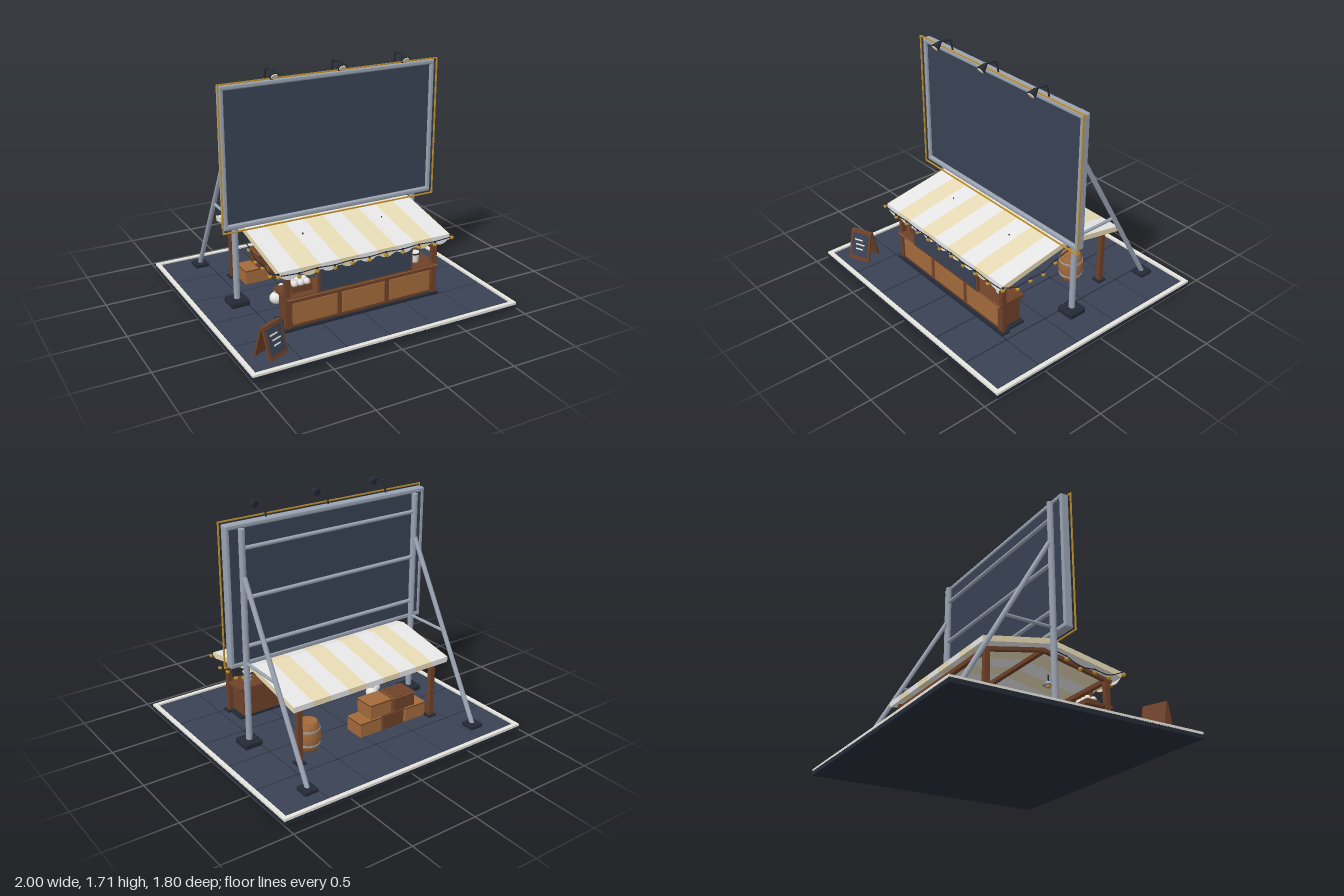
import * as THREE from 'three';
import { RoundedBoxGeometry } from 'three/addons/geometries/RoundedBoxGeometry.js';

const mat = (name, color) => Object.assign(new THREE.MeshStandardMaterial({ color }), { name });
const M = {
  navy: mat('navy', 0x394254), dark: mat('charcoal', 0x242a36), steel: mat('steel', 0x9aa3b2),
  white: mat('off white', 0xe6e4de), cream: mat('cream', 0xe8dcb6), gold: mat('gold', 0xc0922e),
  wood: mat('dark wood', 0x6e4128), light: mat('light wood', 0xa26a3a),
};
M.cloth = mat('cloth white', 0xe6e6e6);
M.cloth.side = M.cream.side = THREE.DoubleSide;

export function createModel() {
  const root = new THREE.Group();
  const add = (name, geo, m, x = 0, y = 0, z = 0, parent = root) => {
    const mesh = new THREE.Mesh(geo, m);
    mesh.name = name;
    mesh.position.set(x, y, z);
    parent.add(mesh);
    return mesh;
  };
  const box = (name, m, w, h, d, x, y, z, parent) => add(name, new THREE.BoxGeometry(w, h, d), m, x, y, z, parent);
  const soft = (name, m, w, h, d, x, y, z, r = 0.008) => add(name, new RoundedBoxGeometry(w, h, d, 2, r), m, x, y, z);
  const cyl = (name, m, rt, rb, h, x, y, z, parent, n = 16) => add(name, new THREE.CylinderGeometry(rt, rb, h, n), m, x, y, z, parent);
  // Round rod between two points
  const rod = (name, m, a, b, r, r2 = r) => {
    const A = new THREE.Vector3(...a), B = new THREE.Vector3(...b), d = B.clone().sub(A);
    const mesh = cyl(name, m, r2, r, d.length(), ...A.clone().add(B).multiplyScalar(0.5).toArray());
    mesh.quaternion.setFromUnitVectors(new THREE.Vector3(0, 1, 0), d.normalize());
    return mesh;
  };
  const tube = (name, m, pts, r) =>
    add(name, new THREE.TubeGeometry(new THREE.CatmullRomCurve3(pts.map(p => new THREE.Vector3(...p))), 32, r, 6), m);
  const sides = [-1, 1];

  // Ground slab, paving and kerb
  box('slab', M.dark, 2, 0.03, 1.8, 0, 0.015, 0);
  for (let i = 0; i < 6; i++) for (let j = 0; j < 5; j++)
    soft('pavingTile', M.navy, 0.312, 0.02, 0.336, (i - 2.5) * 0.322, 0.031, (j - 2) * 0.346, 0.005);
  for (const s of sides) {
    box('kerb', M.white, 2, 0.018, 0.03, 0, 0.036, s * 0.885);
    box('kerb', M.white, 0.03, 0.018, 1.74, s * 0.985, 0.036, 0);
  }

  // Billboard panel, frame and thin gilt outline
  box('billboardPanel', M.navy, 1.6, 0.95, 0.035, 0, 1.125, 0.03);
  for (const s of sides) {
    soft('frameRail', M.steel, 1.63, 0.035, 0.065, 0, 1.125 + s * 0.477, 0.038, 0.012);
    soft('frameStile', M.steel, 0.03, 0.96, 0.06, s * 0.8, 1.125, 0.038, 0.01);
    box('outlineRail', M.gold, 1.66, 0.009, 0.009, 0, 1.125 + s * 0.505, 0.077);
    box('outlineStile', M.gold, 0.009, 1.01, 0.009, s * 0.826, 1.125, 0.077);
  }

  // Steel supports
  for (const s of sides) {
    const x = s * 0.71;
    rod('billboardPost', M.steel, [x, 0.04, -0.012], [x, 1.59, -0.012], 0.022);
    rod('brace', M.steel, [x, 1.27, -0.03], [x, 0.06, -0.72], 0.017);
    rod('strut', M.steel, [x, 0.66, -0.02], [x, 0.66, -0.37], 0.011);
    soft('postFoot', M.dark, 0.14, 0.045, 0.14, x, 0.063, -0.01, 0.012);
    soft('braceFoot', M.dark, 0.105, 0.03, 0.105, x, 0.055, -0.72);
  }
  for (const y of [0.78, 1.12, 1.46]) rod('crossBar', M.steel, [-0.71, y, -0.012], [0.71, y, -0.012], 0.014);

  // Floodlights on top
  for (const x of [-0.49, 0, 0.49]) {
    rod('lampStem', M.dark, [x, 1.61, 0.045], [x, 1.7, 0.065], 0.006);
    rod('lampArm', M.dark, [x, 1.7, 0.065], [x, 1.707, 0.16], 0.006);
    rod('lampHead', M.dark, [x, 1.705, 0.152], [x, 1.672, 0.195], 0.012, 0.032);
    rod('lampLens', M.cream, [x, 1.672, 0.195], [x, 1.668, 0.2], 0.024);
  }

  // Striped gabled canopy
  const gable = new THREE.Shape([[0, 0.61], [-0.49, 0.515], [-0.49, 0.475], [0, 0.572], [0.56, 0.462], [0.56, 0.503]]
    .map(p => new THREE.Vector2(...p)));
  const W = 1.3 / 9;
  const slab = (name, m, x, w) => {
    const g = new THREE.ExtrudeGeometry(gable, { depth: w, bevelEnabled: false });
    g.rotateY(-Math.PI / 2);
    add(name, g, m, x + w);
  };
  const scallop = new THREE.Shape();
  scallop.moveTo(-W / 2, 0.03).lineTo(-W / 2, 0);
  scallop.quadraticCurveTo(-W / 4, -0.035, 0, -0.035).quadraticCurveTo(W / 4, -0.035, W / 2, 0).lineTo(W / 2, 0.03);
  for (let i = 0; i < 9; i++) {
    const m = i % 2 ? M.cream : M.cloth;
    slab('canopyStripe', m, -0.65 + i * W, W);
    add('canopyScallop', new THREE.ShapeGeometry(scallop), m, -0.65 + (i + 0.5) * W, 0.475, 0.562);
  }
  slab('canopyEnd', M.cream, -0.654, 0.004);
  slab('canopyEnd', M.cream, 0.65, 0.004);

  // Stall posts and roof timbers
  for (const s of sides) {
    const x = s * 0.57;
    for (const [z, h] of [[0.492, 0.43], [-0.42, 0.44]]) {
      box('stallPost', M.wood, 0.036, h, 0.036, x, 0.04 + h / 2, z);
      box('stallPostFoot', M.dark, 0.07, 0.012, 0.07, x, 0.047, z);
    }
    for (const [z, y] of [[0.53, 0.452], [-0.46, 0.466]]) {
      const d = Math.hypot(z, 0.565 - y);
      box('rafter', M.wood, 0.03, 0.025, d, x, (0.558 + y) / 2, z / 2).rotation.x = Math.atan2(0.565 - y, z < 0 ? -z : z) * Math.sign(z);
    }
  }
  box('frontBeam', M.wood, 1.17, 0.03, 0.03, 0, 0.455, 0.492);
  box('backBeam', M.wood, 1.17, 0.03, 0.03, 0, 0.468, -0.42);
  box('ridgeBeam', M.wood, 1.17, 0.03, 0.03, 0, 0.557, 0);

  // Counter with three front panels
  box('counterPlinth', M.dark, 1.17, 0.015, 0.21, 0, 0.05, 0.42);
  box('counterBody', M.wood, 1.1, 0.205, 0.175, 0, 0.16, 0.415);
  box('counterTop', M.wood, 1.17, 0.02, 0.21, 0, 0.272, 0.42);
  box('counterTopEdge', M.light, 1.165, 0.007, 0.005, 0, 0.272, 0.526);
  for (const x of [-0.37, 0, 0.37]) box('counterPanel', M.light, 0.33, 0.15, 0.008, x, 0.155, 0.505);

  // Menu board above the counter
  box('menuFrame', M.wood, 0.73, 0.18, 0.02, 0, 0.373, 0.53);
  box('menuFace', M.navy, 0.70, 0.155, 0.006, 0, 0.373, 0.541);

  // Goods on the counter
  box('counterCrate', M.wood, 0.15, 0.045, 0.1, -0.445, 0.305, 0.42);
  for (let i = 0; i < 3; i++) for (let j = 0; j < 2; j++)
    add('crateGoods', new THREE.SphereGeometry(0.024, 12, 8), M.white, -0.49 + i * 0.045, 0.337, 0.397 + j * 0.046);
  cyl('bucket', M.white, 0.036, 0.028, 0.068, 0.46, 0.316, 0.42);
  cyl('bucketRim', M.dark, 0.041, 0.041, 0.008, 0.46, 0.348, 0.42);
  cyl('bucketLid', M.white, 0.035, 0.035, 0.006, 0.46, 0.352, 0.42);

  // Pendant lamps
  for (const s of sides) {
    rod('pendantRod', M.dark, [s * 0.31, 0.475, 0.215], [s * 0.31, 0.578, 0.215], 0.004);
    cyl('pendantShade', M.steel, 0.01, 0.042, 0.028, s * 0.31, 0.468, 0.215);
    add('pendantBulb', new THREE.SphereGeometry(0.016, 10, 8), M.gold, s * 0.31, 0.448, 0.215);
  }

  // String lights along the front and both ends
  const bulb = (x, y, z) => {
    add('bulb', new THREE.SphereGeometry(0.015, 10, 8), M.gold, x, y, z);
    cyl('bulbCap', M.dark, 0.006, 0.008, 0.014, x, y + 0.018, z, root, 8);
  };
  const front = [];
  for (let i = 0; i <= 10; i++) {
    const x = -0.65 + i * 0.13, y = 0.49 - 0.012 * (i % 2 ? 1 : 0.4);
    front.push([x, y, 0.574]);
    if (i > 0 && i < 10) bulb(x, y - 0.02, 0.576);
  }
  tube('frontWire', M.dark, front, 0.0035);
  for (const s of sides) {
    const pts = [[0.57, 0.5], [0.445, 0.452], [0.335, 0.465], [0.22, 0.462], [0.115, 0.508], [0, 0.535]].map(([z, y]) => [s * 0.664, y, z]);
    tube('endWire', M.dark, pts, 0.0035);
    pts.slice(0, 5).forEach(([x, y, z]) => bulb(x, y - 0.02, z));
  }

  // A-frame chalkboard
  const easel = new THREE.Group();
  easel.name = 'chalkboard';
  easel.position.set(-0.79, 0.04, 0.71);
  easel.rotation.y = 0.41;
  root.add(easel);
  for (const s of sides) {
    const leaf = new THREE.Group();
    leaf.name = 'chalkboardLeaf';
    leaf.position.set(0, 0.11, s * 0.036);
    leaf.rotation.set(-0.27, 0, 0);
    const turn = new THREE.Group();
    turn.name = s > 0 ? 'frontLeaf' : 'backLeaf';
    if (s < 0) { turn.rotation.y = Math.PI; leaf.position.z *= -1; }
    turn.add(leaf);
    easel.add(turn);
    box('leafBoard', M.wood, 0.17, 0.225, 0.014, 0, 0, 0, leaf);
    if (s > 0) {
      box('slate', M.navy, 0.135, 0.175, 0.006, 0, 0.005, 0.008, leaf);
      [[0.07, 0.045, -0.012], [0.075, 0.01, 0.005], [0.06, -0.025, 0]].forEach(([w, y, x]) =>
        box('chalkLine', M.white, w, 0.011, 0.003, x, y, 0.0115, leaf));
    }
  }

  // Barrel with hoops
  const stave = [[0, 0], [0.07, 0], [0.084, 0.045], [0.091, 0.103], [0.084, 0.16], [0.07, 0.205], [0.062, 0.205], [0.062, 0.197], [0, 0.197]];
  add('barrel', new THREE.LatheGeometry(stave.map(p => new THREE.Vector2(...p)), 20), M.light, 0.41, 0.045, -0.285);
  for (const y of [0.05, 0.155]) cyl('barrelHoop', M.steel, 0.0875, 0.0875, 0.012, 0.41, 0.045 + y, -0.285, root, 20);

  // Stacked crates
  [[-0.05, 0], [-0.25, 0], [-0.45, 0], [-0.14, 1], [-0.35, 1]].forEach(([x, k], i) => {
    const m = i === 4 || i === 1 ? M.wood : M.light;
    soft('crate', m, 0.185, 0.112, 0.155, x, 0.098 + k * 0.113, -0.32 + k * 0.005, 0.004);
    box('crateBand', i === 4 ? M.light : M.wood, 0.187, 0.008, 0.157, x, 0.145 + k * 0.113, -0.32 + k * 0.005);
  });

  // Tied sacks
  for (const [x, z] of [[-0.4, 0.045], [-0.47, 0.11]]) {
    add('sack', new THREE.SphereGeometry(0.047, 16, 12), M.white, x, 0.082, z).scale.y = 0.9;
    cyl('sackNeck', M.white, 0.018, 0.012, 0.022, x, 0.129, z);
  }

  // Stool
  cyl('stoolSeat', M.light, 0.045, 0.045, 0.016, 0.2, 0.158, 0.18);
  for (const a of sides) for (const b of sides)
    rod('stoolLeg', M.wood, [0.2 + a * 0.034, 0.04, 0.18 + b * 0.034], [0.2 + a * 0.023, 0.152, 0.18 + b * 0.023], 0.007);

  return root;
}
